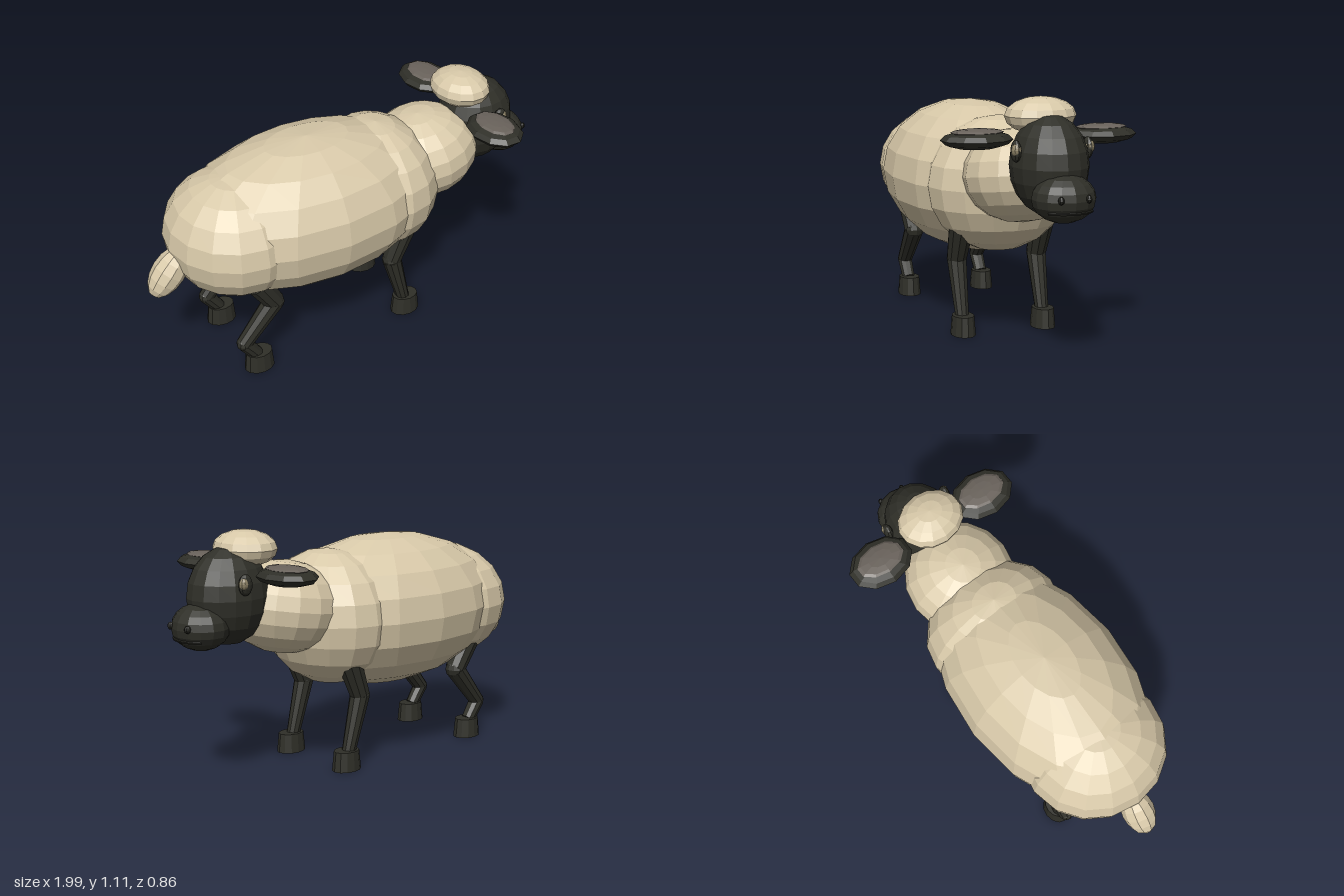
import * as THREE from 'three';

const paint = (name, color) => {
  const m = new THREE.MeshStandardMaterial({ color, flatShading: true });
  m.name = name;
  return m;
};

export function createModel() {
  const wool = paint('cream wool', 0xd8c9a9);
  const skin = paint('black skin', 0x2f2f28);
  const innerEar = paint('grey inner ear', 0x69625b);
  const eyeTan = paint('tan eye', 0x8f8468);
  const dark = paint('dark mouth', 0x1f1f1a);

  const sheep = new THREE.Group();
  sheep.name = 'sheep';

  const add = (name, geometry, material, position, parent = sheep) => {
    const mesh = new THREE.Mesh(geometry, material);
    mesh.name = name;
    mesh.position.set(...position);
    parent.add(mesh);
    return mesh;
  };

  // Faceted ellipsoid with its poles up and down, tilted about z
  const blob = (name, material, position, radii, tilt = 0, w = 16, h = 10) => {
    const geometry = new THREE.SphereGeometry(1, w, h).scale(...radii);
    geometry.rotateZ(tilt);
    return add(name, geometry, material, position);
  };

  // Fleece
  blob('body', wool, [-0.2, 0.67, 0], [0.66, 0.355, 0.392]);
  blob('rump', wool, [-0.57, 0.66, 0], [0.32, 0.285, 0.335]);
  blob('chest', wool, [0.16, 0.675, 0], [0.28, 0.31, 0.337]);
  blob('neck', wool, [0.42, 0.75, 0], [0.27, 0.208, 0.255], 0.15);
  blob('tail', wool, [-0.9, 0.55, 0], [0.075, 0.133, 0.075], -0.68, 10, 8);
  blob('woolCap', wool, [0.627, 1.03, 0], [0.132, 0.08, 0.155], 0, 14, 8);

  // Head
  blob('head', skin, [0.72, 0.835, 0], [0.188, 0.212, 0.162]);
  blob('muzzle', skin, [0.868, 0.72, 0], [0.12, 0.101, 0.135], 0, 14, 10);

  // Mouth line wrapped round the front of the muzzle
  const mouthPoints = [];
  for (let i = -4; i <= 4; i++) {
    const a = i * 0.23;
    mouthPoints.push(new THREE.Vector3(0.868 + 0.107 * Math.cos(a), 0.673, 0.121 * Math.sin(a)));
  }
  const mouthPath = new THREE.CatmullRomCurve3(mouthPoints);
  add('mouth', new THREE.TubeGeometry(mouthPath, 12, 0.006, 5), dark, [0, 0, 0]);

  for (const side of [1, -1]) {
    const label = side > 0 ? 'Near' : 'Far';
    blob('ear' + label, skin, [0.627, 0.94, side * 0.282], [0.117, 0.04, 0.154], 0, 10, 6);
    blob('innerEar' + label, innerEar, [0.627, 0.971, side * 0.28], [0.074, 0.014, 0.115], 0, 10, 6);
    blob('eyelid' + label, skin, [0.75, 0.903, side * 0.16], [0.034, 0.046, 0.021], 0, 10, 8);
    blob('eye' + label, eyeTan, [0.762, 0.908, side * 0.163], [0.022, 0.028, 0.021], 0, 10, 8);
    blob('nostril' + label, dark, [0.975, 0.73, side * 0.06], [0.016, 0.017, 0.013], 0, 8, 6);
  }

  // Leg: tapered segments between [x, y, radius] joints, with a hoof below
  const up = new THREE.Vector3(0, 1, 0);
  const leg = (name, joints, hoofX, z) => {
    const group = new THREE.Group();
    group.name = name;
    sheep.add(group);
    for (let i = 0; i + 1 < joints.length; i++) {
      const [ax, ay, ar] = joints[i];
      const [bx, by, br] = joints[i + 1];
      const direction = new THREE.Vector3(ax - bx, ay - by, 0);
      const bone = add('segment', new THREE.CylinderGeometry(ar, br, direction.length(), 10),
        skin, [(ax + bx) / 2, (ay + by) / 2, z], group);
      bone.quaternion.setFromUnitVectors(up, direction.normalize());
      if (i > 0) add('joint', new THREE.SphereGeometry(ar, 10, 6), skin, [ax, ay, z], group);
    }
    const hoof = new THREE.CylinderGeometry(0.064, 0.073, 0.09, 12).scale(1, 1, 0.76);
    add('hoof', hoof, skin, [hoofX, 0.045, z], group);
  };

  for (const side of [1, -1]) {
    const z = side * 0.196;
    const label = side > 0 ? 'Near' : 'Far';
    leg('frontLeg' + label, [[0.205, 0.5, 0.058], [0.14, 0.335, 0.046], [0.212, 0.07, 0.031]], 0.222, z);
    leg('hindLeg' + label,
      [[-0.57, 0.48, 0.056], [-0.49, 0.35, 0.048], [-0.65, 0.165, 0.036], [-0.59, 0.08, 0.032]], -0.578, z);
  }

  return sheep;
}
